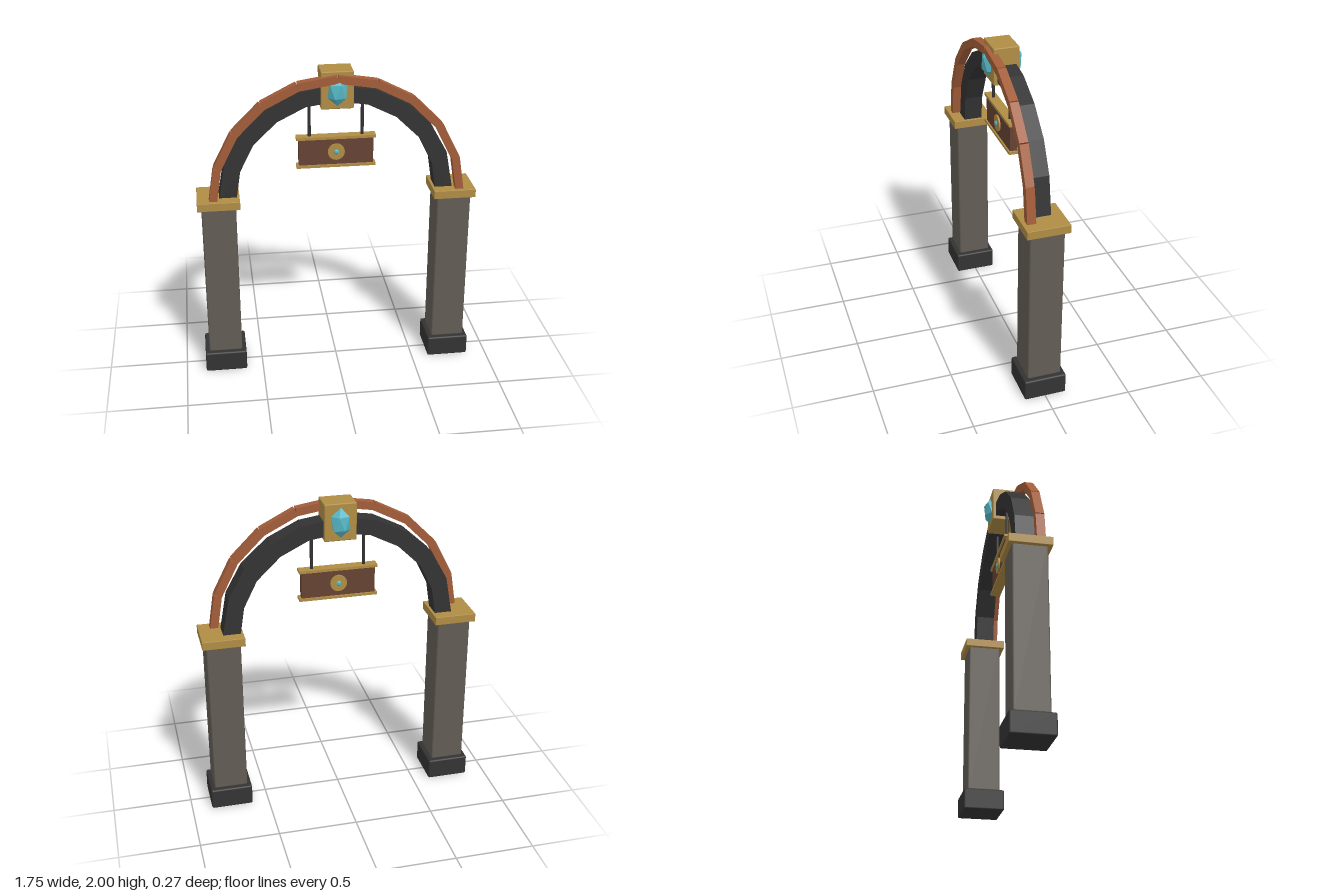
import * as THREE from 'three';
import { RoundedBoxGeometry } from 'three/addons/geometries/RoundedBoxGeometry.js';

const paint = (name, color) => {
  const m = new THREE.MeshStandardMaterial({ color });
  m.name = name;
  return m;
};

export function createModel() {
  const root = new THREE.Group();
  root.name = 'archway';
  const stone = paint('stone', 0x625c55);
  const iron = paint('dark iron', 0x333333);
  const gold = paint('brass', 0xb08d45);
  const copper = paint('copper', 0xa35d39);
  const wood = paint('brown wood', 0x664233);
  const crystal = paint('teal crystal', 0x55b8c6);

  const add = (name, geometry, material, x = 0, y = 0, z = 0, parent = root) => {
    const mesh = new THREE.Mesh(geometry, material);
    mesh.name = name;
    mesh.position.set(x, y, z);
    parent.add(mesh);
    return mesh;
  };
  const box = (w, h, d) => new THREE.BoxGeometry(w, h, d);
  const bevelBox = (w, h, d, r) => new RoundedBoxGeometry(w, h, d, 1, r);

  // Faceted gem with a vertex pointing straight up and down
  const gem = (rx, ry, rz) => new THREE.IcosahedronGeometry(1, 0)
    .rotateZ(-Math.atan(2 / (1 + Math.sqrt(5))))
    .scale(rx, ry, rz)
    .toNonIndexed();

  // Pillars
  for (const side of [1, -1]) {
    const pillar = new THREE.Group();
    pillar.name = side > 0 ? 'leftPillar' : 'rightPillar';
    pillar.position.x = side * 0.74;
    root.add(pillar);
    add('pillarBase', bevelBox(0.267, 0.135, 0.267, 0.01), iron, 0, 0.0675, 0, pillar);
    add('pillarShaft', bevelBox(0.214, 1.03, 0.214, 0.01), stone, 0, 0.65, 0, pillar);
    add('pillarCap', bevelBox(0.265, 0.054, 0.265, 0.003), gold, 0, 1.183, 0, pillar);
  }

  // Main arch: half profile mirrored, then extruded
  const outer = [[0.737, 1.19], [0.69, 1.445], [0.588, 1.628], [0.425, 1.775], [0.23, 1.871]];
  const inner = [[0.627, 1.19], [0.598, 1.378], [0.513, 1.548], [0.366, 1.69], [0.19, 1.778]];
  const mirror = (half, top) =>
    [...half, [0, top], ...[...half].reverse().map(([x, y]) => [-x, y])];
  const outline = [...mirror(outer, 1.905), ...mirror(inner, 1.805).reverse()];
  const archShape = new THREE.Shape(outline.map(([x, y]) => new THREE.Vector2(x, y)));
  const archGeometry = new THREE.ExtrudeGeometry(archShape, { depth: 0.118, bevelEnabled: false });
  add('mainArch', archGeometry, iron, 0, 0, -0.06);

  // Copper trim: ten straight bars around a half circle
  const radius = 0.777, bars = 10, step = Math.PI / bars;
  const trim = new THREE.Group();
  trim.name = 'copperTrim';
  root.add(trim);
  for (let i = 0; i < bars; i++) {
    const a = (i + 0.5) * step;
    const r = radius * Math.cos(step / 2);
    const bar = add('trimBar', box(0.05, 2 * radius * Math.sin(step / 2), 0.054), copper,
      r * Math.cos(a), 1.18 + r * Math.sin(a), 0.08, trim);
    bar.rotation.z = a;
  }

  // Keystone with a gem on each face
  add('keystone', bevelBox(0.2, 0.235, 0.162, 0.007), gold, 0, 1.8825, 0);
  for (const side of [1, -1]) {
    add(side > 0 ? 'frontGem' : 'backGem', gem(0.067, 0.095, 0.047), crystal, 0, 1.88, side * 0.08);
  }

  // Hanging sign
  const sign = new THREE.Group();
  sign.name = 'hangingSign';
  sign.position.y = 1.47;
  root.add(sign);
  add('signBoard', box(0.464, 0.18, 0.045), wood, 0, 0, 0, sign);
  for (const side of [1, -1]) {
    add('signRail', box(0.494, 0.017, 0.065), gold, 0, side * 0.092, 0, sign);
    add('signRod', new THREE.CylinderGeometry(0.01, 0.01, 0.27, 8), iron, side * 0.164, 0.23, 0, sign);
    add('signGem', gem(0.018, 0.018, 0.012), crystal, 0, 0, side * 0.033, sign);
  }
  add('signMedallion', new THREE.CylinderGeometry(0.053, 0.053, 0.066, 16).rotateX(Math.PI / 2),
    gold, 0, 0, 0, sign);

  return root;
}
